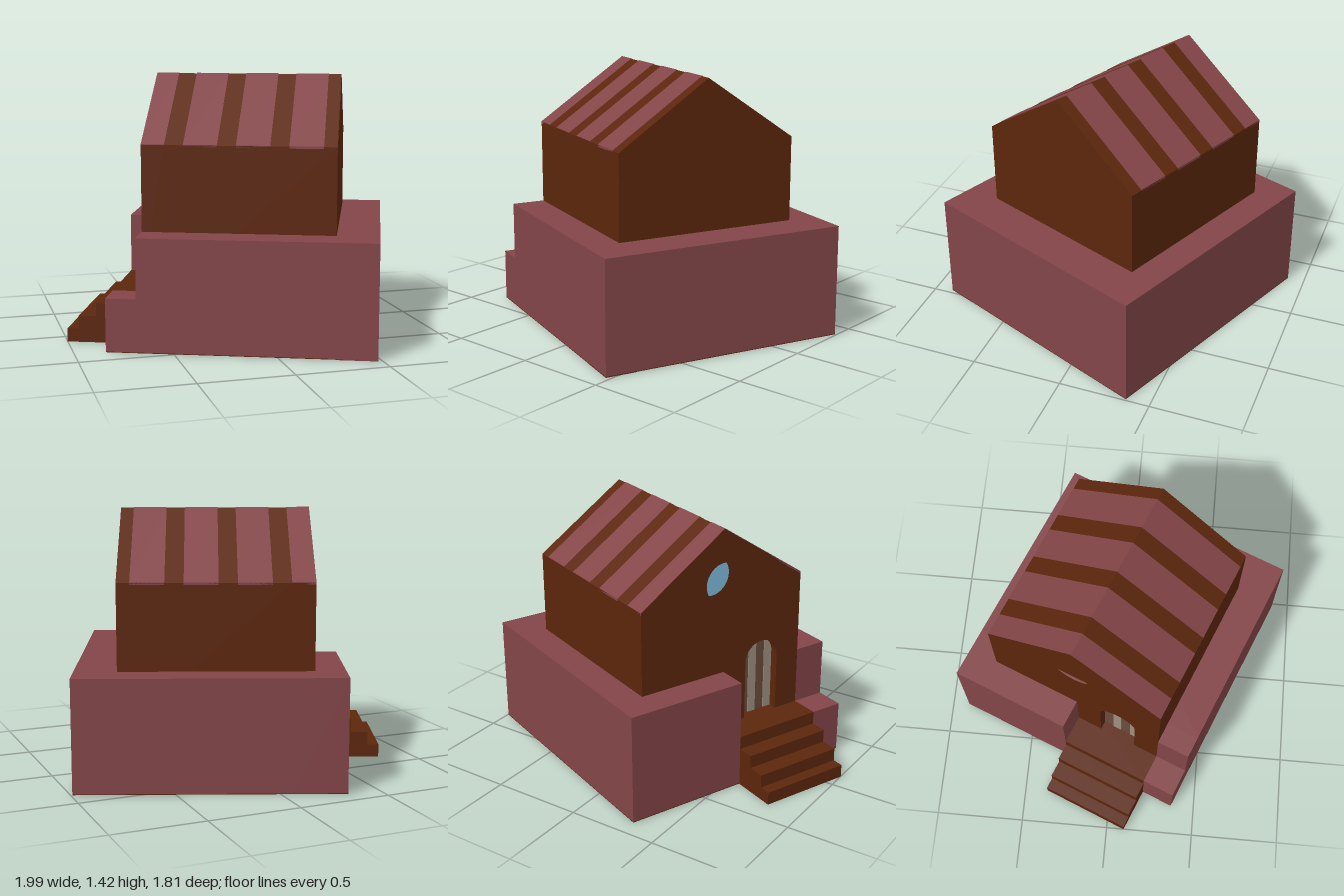
import * as THREE from 'three';

const BROWN = 0x5c260c, PINK = 0x834548, GLASS = 0x7fbede, SLAT = 0x9f8f7f, DOOR = 0x694c3f;
const materials = new Map();
function mat(color) {
  if (!materials.has(color)) materials.set(color, new THREE.MeshStandardMaterial({ color, flatShading: true }));
  return materials.get(color);
}

// Local axes: x runs along the ridge, z across it; the entrance is at the -x end
const X0 = -0.474, X1 = 0.554, WALL = 0.12;          // house ends, front wall thickness
const Z0 = -0.552, Z1 = 0.47, ZR = -0.041;           // eaves and ridge
const FLOOR = 0.29, TERRACE = 0.612, EAVE = 1.075, RIDGE = 1.42;
const STAIR_Z = -0.037, BASE_Z0 = -0.718, BASE_Z1 = 0.654, BASE_X0 = -0.637, BASE_X1 = 0.78;
const DOOR_Z = 0.217, DOOR_R = 0.107, SPRING = 0.625, WINDOW_Y = 1.126, WINDOW_R = 0.11;

export function createModel() {
  const model = new THREE.Group();
  const house = new THREE.Group();
  house.name = 'houseOnTerrace';
  house.rotation.y = -0.387;
  model.add(house);

  function add(name, geometry, color) {
    const mesh = new THREE.Mesh(geometry, mat(color));
    mesh.name = name;
    house.add(mesh);
    return mesh;
  }
  // Box from its minimum and maximum on each axis
  function box(name, color, x0, x1, y0, y1, z0, z1) {
    const g = new THREE.BoxGeometry(x1 - x0, y1 - y0, z1 - z0);
    g.translate((x0 + x1) / 2, (y0 + y1) / 2, (z0 + z1) / 2);
    return add(name, g, color);
  }
  // Cross-section of [z, y] points, pushed along x from x0 to x1
  function profile(name, color, points, x0, x1, hole) {
    const shape = new THREE.Shape(points.map(([z, y]) => new THREE.Vector2(-z, y)));
    if (hole) shape.holes.push(hole);
    const g = new THREE.ExtrudeGeometry(shape, { depth: x1 - x0, bevelEnabled: false, curveSegments: 32 });
    g.rotateY(Math.PI / 2);
    g.translate(x0, 0, 0);
    return add(name, g, color);
  }
  // Points of the door arch between two offsets from its middle
  function arch(from, to, steps = 20) {
    const pts = [];
    for (let i = 0; i <= steps; i++) {
      const d = from + (to - from) * (0.5 - 0.5 * Math.cos(Math.PI * i / steps));
      pts.push([DOOR_Z + d, SPRING + Math.sqrt(Math.max(0, DOOR_R * DOOR_R - d * d))]);
    }
    return pts;
  }
  const closedArch = (from, to) => [[DOOR_Z + from, FLOOR], ...arch(from, to), [DOOR_Z + to, FLOOR]];

  // Terrace, cut away around the entrance
  const back = X0 + WALL, bottom = 0.006;
  box('terrace', PINK, back, BASE_X1, bottom, TERRACE, BASE_Z0, BASE_Z1);
  box('terraceWing', PINK, BASE_X0, back, bottom, TERRACE, BASE_Z0, STAIR_Z);
  box('terraceStrip', PINK, X0, back, bottom, TERRACE, Z1, BASE_Z1);
  box('lowTerrace', PINK, BASE_X0, X0, bottom, FLOOR, Z1, BASE_Z1);
  box('underside', BROWN, BASE_X0, BASE_X1, 0.002, bottom, BASE_Z0, BASE_Z1);
  box('undersideCorner', PINK, BASE_X1 - 0.21, BASE_X1, 0, bottom, BASE_Z1 - 0.17, BASE_Z1);

  // Stairs up to the door
  [-0.889, -0.825, -0.73, BASE_X0].forEach((x, i, xs) =>
    box('step' + (i + 1), BROWN, x, xs[i + 1] ?? back, 0, FLOOR * (i + 1) / 4, STAIR_Z, Z1));

  // House body and the pierced entrance wall
  const roofLine = [[Z1, EAVE], [ZR, RIDGE], [Z0, EAVE]];
  profile('houseBody', BROWN, [[Z0, FLOOR], [Z1, FLOOR], ...roofLine], back, X1);
  const opening = new THREE.Path().absarc(-ZR, WINDOW_Y, WINDOW_R, 0, Math.PI * 2, true);
  profile('entranceWall', BROWN,
    [[Z0, FLOOR], ...closedArch(-DOOR_R, DOOR_R), [Z1, FLOOR], ...roofLine], X0, back, opening);

  // Round window
  const glass = new THREE.CylinderGeometry(WINDOW_R, WINDOW_R, 0.01, 40);
  glass.rotateZ(Math.PI / 2);
  glass.translate(back - 0.006, WINDOW_Y, ZR);
  add('windowGlass', glass, GLASS);

  // Arched door with pale slats
  profile('door', DOOR, closedArch(-DOOR_R, DOOR_R), X0 + 0.05, back);
  for (const d of [-0.05, 0.056])
    profile('doorSlat', SLAT, closedArch(d, Math.min(d + 0.05, DOOR_R)), X0 + 0.046, X0 + 0.06);

  // Roof bands lying over both slopes
  const lift = 0.003, sink = 0.01;
  const band = [...roofLine.map(([z, y]) => [z, y + lift]),
    ...roofLine.slice().reverse().map(([z, y]) => [z, y - sink])];
  for (let i = 0; i < 4; i++) {
    const start = X0 - 0.055 + i * 0.278;
    profile('roofBand', PINK, band, Math.max(start, X0), start + 0.179);
  }
  return model;
}
